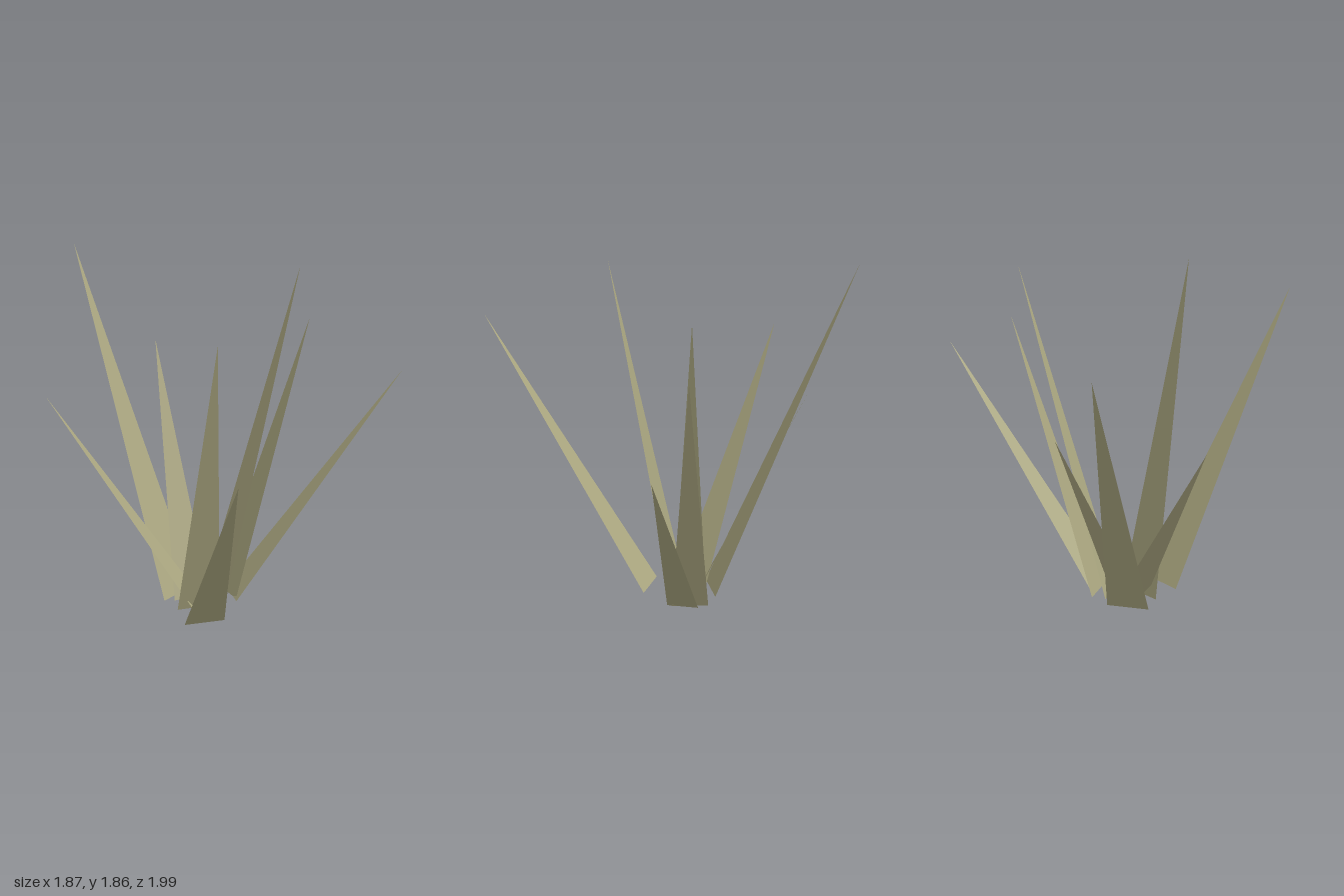
import * as THREE from 'three';

// Each blade is one flat tapering leaf: two ground corners [x, z] and a tip [x, y, z].
const blades = [
  { name: 'tallBackBlade', a: [-0.39, -0.2], b: [-0.18, -0.275], tip: [-0.54, 1.81, -1.0] },
  { name: 'shortBackBlade', a: [-0.34, -0.18], b: [-0.145, -0.165], tip: [-0.17, 1.24, -0.78] },
  { name: 'rightBlade', a: [-0.29, -0.045], b: [-0.195, -0.21], tip: [-0.94, 1.25, -0.5] },
  { name: 'lowFrontBlade', a: [-0.395, 0.06], b: [-0.185, 0.105], tip: [-0.52, 1.42, 0.99] },
  { name: 'tallFrontBlade', a: [-0.365, -0.09], b: [-0.14, -0.05], tip: [-0.32, 1.86, 0.31] },
  { name: 'tallLeftBlade', a: [-0.105, -0.06], b: [-0.14, -0.23], tip: [0.41, 1.86, -0.22] },
  { name: 'middleLeftBlade', a: [-0.04, -0.06], b: [-0.07, -0.25], tip: [0.46, 1.53, -0.21] },
  { name: 'lowLeftBlade', a: [-0.05, -0.035], b: [-0.035, -0.2], tip: [0.93, 1.16, -0.065] },
];

function bladeGeometry({ a, b, tip }) {
  const geometry = new THREE.BufferGeometry();
  const corners = [a[0], 0, a[1], b[0], 0, b[1], ...tip];
  geometry.setAttribute('position', new THREE.Float32BufferAttribute(corners, 3));
  geometry.computeVertexNormals();
  return geometry;
}

export function createModel() {
  const group = new THREE.Group();
  group.name = 'grassTuft';
  const dryGrass = new THREE.MeshStandardMaterial({ color: 0xa8a47e, side: THREE.DoubleSide });
  dryGrass.name = 'dry grass';

  // Fan of separate blades around the root
  for (const blade of blades) {
    const mesh = new THREE.Mesh(bladeGeometry(blade), dryGrass);
    mesh.name = blade.name;
    group.add(mesh);
  }
  return group;
}
